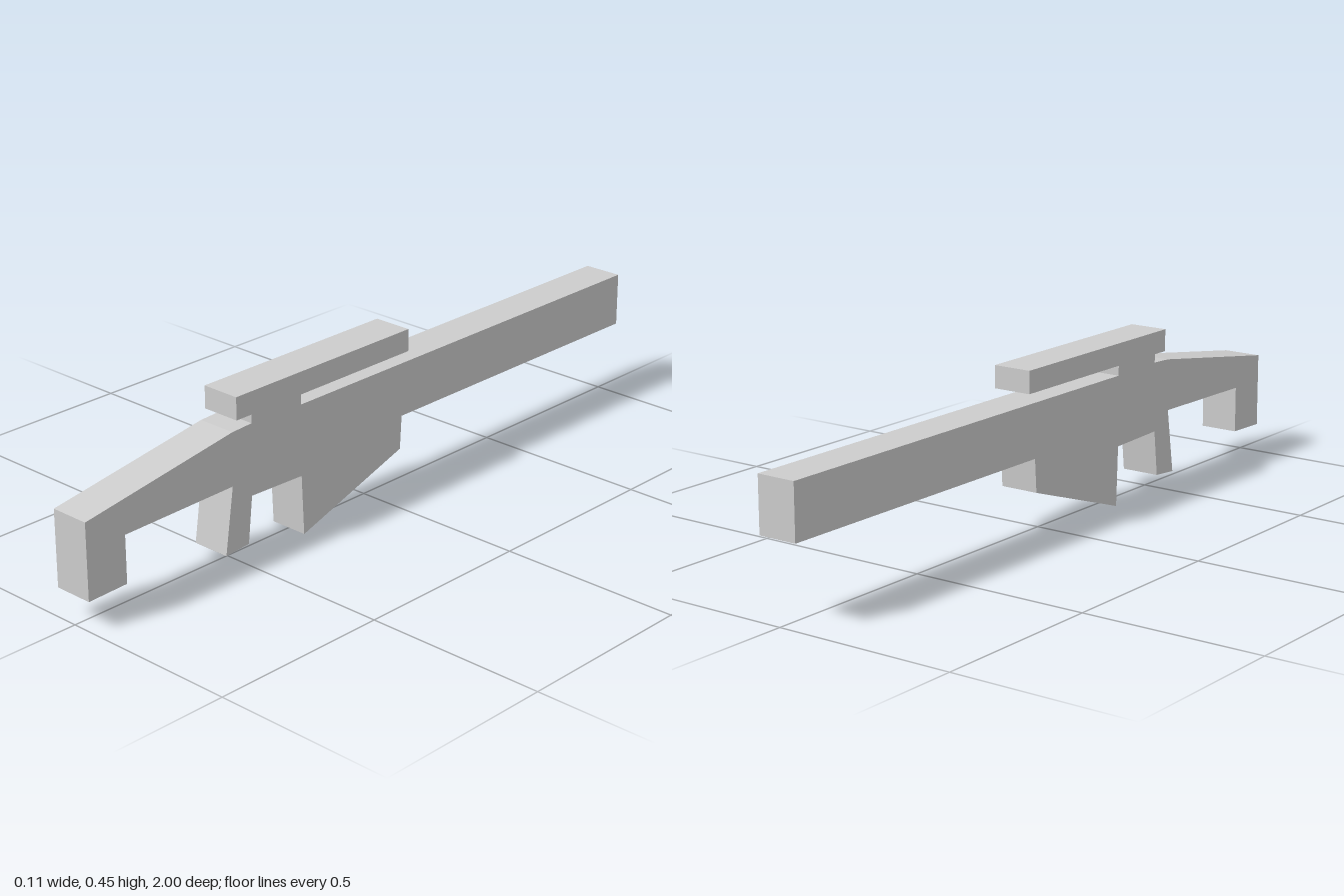
import * as THREE from 'three';

const WIDTH = 0.11;

// Side outline as [z, y] points, butt at +z and muzzle at -z
const outline = [
  // butt and sloping top of the stock
  [1, 0.08], [1, 0.286], [0.525, 0.361], [0.46, 0.364],
  // scope on its mount
  [0.46, 0.387], [0.51, 0.387], [0.51, 0.448], [-0.11, 0.448], [-0.11, 0.387], [0.288, 0.387],
  // barrel
  [0.288, 0.36], [-1, 0.36], [-1, 0.212], [-0.086, 0.212],
  // magazine
  [-0.08, 0.12], [0.281, 0], [0.288, 0.165],
  // trigger gap and grip
  [0.463, 0.17], [0.477, 0.043], [0.555, 0.037], [0.528, 0.217],
  // underside of the stock and heel
  [0.88, 0.212], [0.88, 0.083],
];

export function createModel() {
  const group = new THREE.Group();
  group.name = 'rifle';

  const lightGrey = new THREE.MeshStandardMaterial({ color: 0xcccccc });
  lightGrey.name = 'lightGrey';

  // One solid slab cut to the outline, turned so the outline runs along z
  const shape = new THREE.Shape(outline.map(([z, y]) => new THREE.Vector2(z, y)));
  const geometry = new THREE.ExtrudeGeometry(shape, { depth: WIDTH, bevelEnabled: false });
  geometry.translate(0, 0, -WIDTH / 2);
  geometry.rotateY(-Math.PI / 2);

  const body = new THREE.Mesh(geometry, lightGrey);
  body.name = 'rifleBody';
  group.add(body);
  return group;
}
